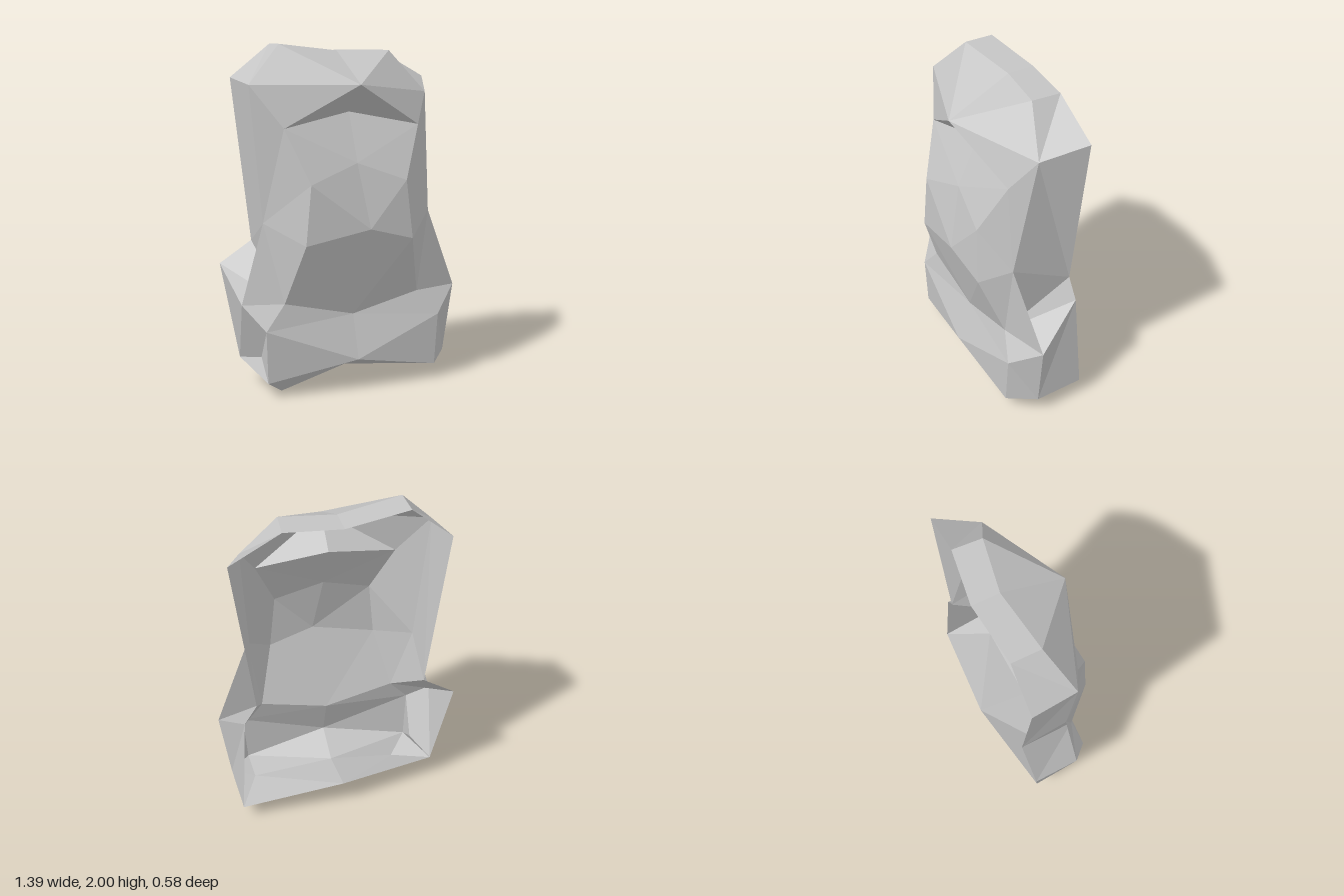
import * as THREE from 'three';

// Corners shared by several cross-sections (L = -x side, R = +x side)
const topBackL = [-0.61, 1.81, -0.23], topBackR = [0.61, 1.8, -0.23];
const topSideL = [-0.58, 1.78, 0.04], topSideR = [0.51, 1.72, 0.02];
const brow = [0, 1.78, 0.26];
const bellySideL = [-0.51, 1, 0.045], bellySideR = [0.48, 1.03, 0.145];
const wallBackL = [-0.5, 0.85, -0.23], wallBackR = [0.5, 0.85, -0.225];
const waistL = [-0.42, 0.545, 0.15], waistR = [0.41, 0.545, 0.15];
const hipL = [-0.65, 0.54, 0.07], hipR = [0.695, 0.54, 0.07];
const shelfL = [-0.54, 0.4, 0.18], shelfR = [0.53, 0.4, 0.2];
const shelfCentre = [0, 0.445, 0.15];
const shelfBackL = [-0.695, 0.725, -0.23], shelfBackR = [0.575, 0.73, -0.225];
const footL = [-0.6, 0.155, -0.17], footR = [0.62, 0.1, -0.26];
const footSideL = [-0.52, 0.2, 0.01], footSideR = [0.64, 0.12, 0.055];

// Seven-point cross-sections, each running from the left rim to the right rim;
// repeated corners let facets taper to a point.
const s = {
  topRim: [topBackL, topBackL, [-0.37, 2, -0.23], [0, 1.96, -0.27], [0.32, 1.96, -0.23], topBackR, topBackR],
  crown: [topBackL, topSideL, [-0.37, 2, -0.06], [0, 1.96, -0.11], [0.31, 1.96, -0.06], topSideR, topBackR],
  brow: [topBackL, topSideL, brow, brow, brow, topSideR, topBackR],
  recess: [topBackL, topSideL, [-0.41, 1.54, 0.14], [0, 1.62, 0.08], [0.41, 1.54, 0.14], topSideR, topBackR],
  chest: [wallBackL, bellySideL, [-0.295, 1.235, 0.26], [0, 1.34, 0.21], [0.285, 1.235, 0.26], bellySideR, wallBackR],
  belly: [wallBackL, bellySideL, [-0.33, 0.895, 0.27], [0.05, 0.97, 0.295], [0.32, 0.895, 0.275], bellySideR, wallBackR],
  waist: [wallBackL, waistL, waistL, shelfCentre, waistR, waistR, wallBackR],
  shelf: [shelfBackL, hipL, shelfL, shelfCentre, shelfR, hipR, shelfBackR],
  shelfFold: [shelfBackL, hipL, shelfL, shelfCentre, shelfR, footSideR, shelfBackR],
  baseEdge: [footL, footSideL, [-0.53, 0.09, 0.17], [0, 0.19, 0.235], [0.51, 0.09, 0.2], footSideR, footR],
  underside: [footL, footL, [-0.42, 0, 0.07], [0, 0.1, 0.03], [0.5, 0.085, 0.01], footSideR, footR],
  bottomRim: [footL, footL, footL, [0, 0.18, -0.29], footR, footR, footR],
};

// Joins successive cross-sections into triangles, skipping collapsed ones
function loft(rows) {
  const triangles = [];
  for (let j = 0; j < rows.length - 1; j++) {
    for (let i = 0; i < 6; i++) {
      const a = rows[j][i], b = rows[j][i + 1];
      const d = rows[j + 1][i], c = rows[j + 1][i + 1];
      // The fold direction mirrors about the centre column
      if (i === 2 || i > 3) triangles.push([a, d, c], [a, c, b]);
      else triangles.push([a, d, b], [b, d, c]);
    }
  }
  return triangles.filter(([a, b, c]) => a !== b && b !== c && c !== a);
}

function facets(triangles) {
  const geometry = new THREE.BufferGeometry();
  geometry.setAttribute('position', new THREE.Float32BufferAttribute(triangles.flat(2), 3));
  geometry.computeVertexNormals();
  return geometry;
}

export function createModel() {
  const group = new THREE.Group();
  group.name = 'rockShell';
  const stone = new THREE.MeshStandardMaterial({ color: 0xc4c4c4, flatShading: true, side: THREE.DoubleSide });
  stone.name = 'stone grey';

  const parts = {
    overhang: loft([s.topRim, s.crown, s.brow, s.recess]),
    body: loft([s.recess, s.chest, s.belly, s.waist]),
    // Fins running from the belly sides down to the hips
    hipGussets: [[bellySideL, hipL, waistL], [bellySideR, waistR, hipR]],
    base: loft([s.waist, s.shelf, s.shelfFold, s.baseEdge]),
    underside: loft([s.baseEdge, s.underside, s.bottomRim]),
  };
  for (const [name, triangles] of Object.entries(parts)) {
    const mesh = new THREE.Mesh(facets(triangles), stone);
    mesh.name = name;
    group.add(mesh);
  }
  return group;
}
